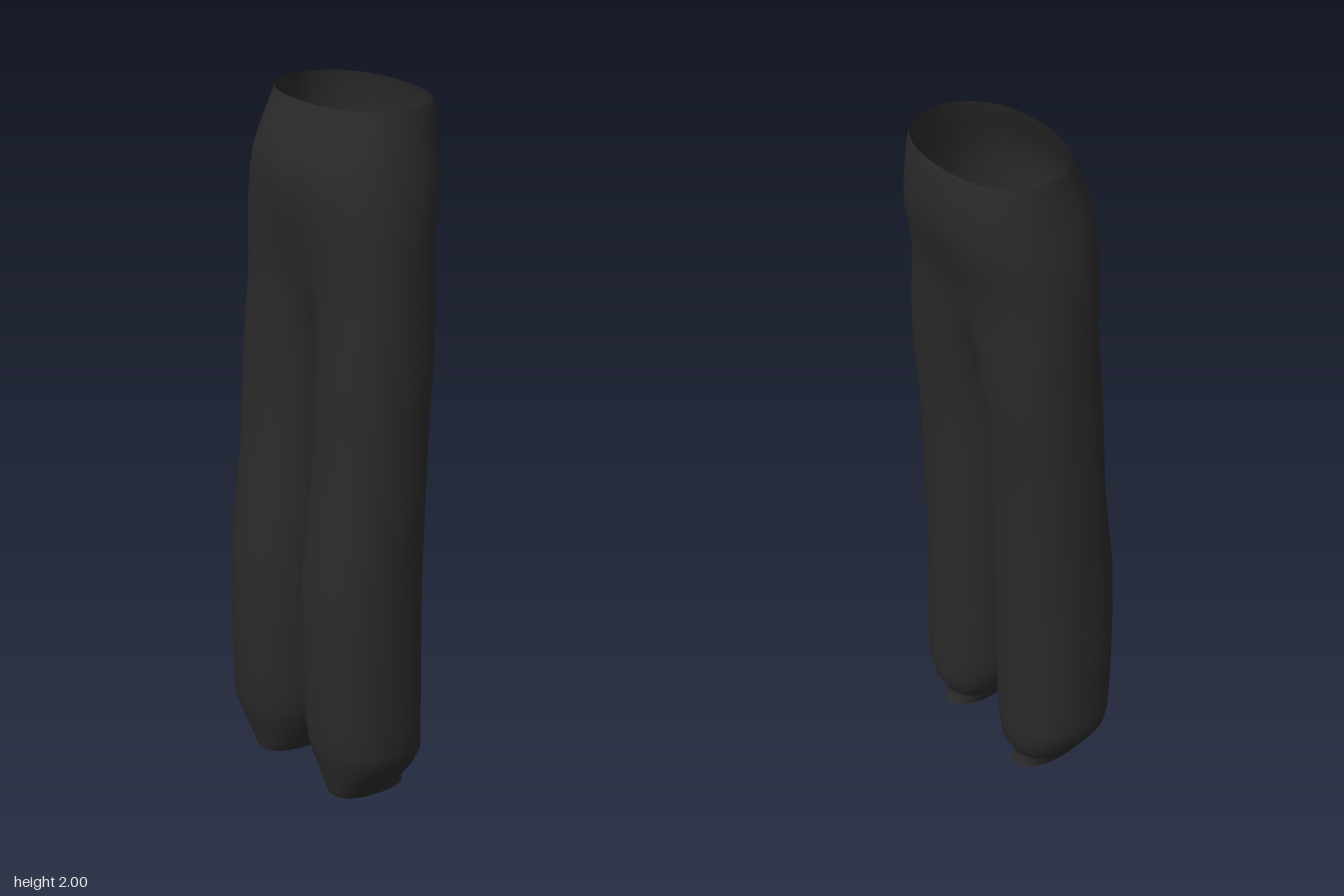
import * as THREE from 'three';
import { mergeVertices } from 'three/addons/utils/BufferGeometryUtils.js';

const COLS = 24;      // columns around one leg
const OUTER = 20;     // columns 0..OUTER also continue up into the hips
const CROTCH = 1.45;  // height where the hips divide into legs

// y, inner x, outer x, front z, back z, leg weight (0 = hip oval, 1 = leg tube)
const rings = [
  [2.00, 0, 0.245, 0.130, -0.210, 0],
  [1.97, 0, 0.252, 0.140, -0.218, 0],
  [1.91, 0, 0.265, 0.168, -0.221, 0],
  [1.85, 0, 0.280, 0.189, -0.222, 0],
  [1.78, 0, 0.294, 0.195, -0.216, 0.03],
  [1.70, 0, 0.305, 0.190, -0.190, 0.10],
  [1.62, 0, 0.308, 0.182, -0.173, 0.25],
  [1.53, 0, 0.310, 0.172, -0.166, 0.45],
  [CROTCH, 0, 0.311, 0.166, -0.160, 0.72],
  [1.30, 0.014, 0.315, 0.168, -0.144, 1],
  [1.18, 0.015, 0.318, 0.172, -0.128, 1],
  [1.00, 0.012, 0.320, 0.182, -0.119, 1],
  [0.85, 0.007, 0.322, 0.198, -0.114, 1],
  [0.70, 0.006, 0.323, 0.219, -0.110, 1],
  [0.55, 0.008, 0.326, 0.222, -0.107, 1],
  [0.40, 0.011, 0.329, 0.220, -0.105, 1],
  [0.25, 0.015, 0.330, 0.214, -0.104, 1],
  [0.18, 0.025, 0.329, 0.208, -0.104, 1],
  [0.14, 0.036, 0.322, 0.200, -0.104, 1],
  [0.09, 0.058, 0.290, 0.184, -0.098, 1],
  [0.05, 0.080, 0.262, 0.173, -0.075, 1],
  [0.03, 0.094, 0.246, 0.168, -0.056, 1],
  [0.00, 0.105, 0.234, 0.163, -0.080, 1],
];

const soft = (v, e) => Math.sign(v) * Math.pow(Math.abs(v), e);

// Point of a ring on the left (+x) half; columns run front, outside, back, inside
function pointAt([y, xi, xo, zf, zb, w], j) {
  const cz = (zf + zb) / 2, rz = (zf - zb) / 2;
  const leg = (k) => {
    const a = THREE.MathUtils.degToRad(-60 + k * 15);
    return [(xi + xo) / 2 + (xo - xi) / 2 * soft(Math.sin(a), 0.88),
      cz + rz * soft(Math.cos(a), 0.88)];
  };
  const outer = (k) => {
    const a = Math.PI * k / OUTER, l = leg(k);
    const x = THREE.MathUtils.lerp(xo * soft(Math.sin(a), 0.88), l[0], w);
    const z = THREE.MathUtils.lerp(cz + rz * soft(Math.cos(a), 0.88), l[1], w);
    return [w < 1 && (k === 0 || k === OUTER) ? 0 : x, z];
  };
  if (j <= OUTER) {
    const [x, z] = outer(j);
    // The hem sits slightly higher at the front
    return [x, y === 0 ? 0.015 * (z - zb) / (zf - zb) : y, z];
  }
  if (w < 1) {
    // Crotch seam: dips between its front and back ends
    const t = (j - OUTER) / (COLS - OUTER);
    const z = THREE.MathUtils.lerp(outer(OUTER)[1], outer(0)[1], t);
    return [0, y - 0.115 * Math.pow(Math.sin(Math.PI * t), 0.6), z];
  }
  const [x, z] = leg(j);
  return [x, y === 0 ? 0.015 * (z - zb) / (zf - zb) : y, z];
}

function trouserGeometry() {
  const positions = [], index = [];
  for (const side of [1, -1]) {
    const base = positions.length / 3;
    for (const ring of rings) {
      for (let j = 0; j < COLS; j++) {
        const [x, y, z] = pointAt(ring, j);
        positions.push(side * x, y, z);
      }
    }
    for (let i = 0; i < rings.length - 1; i++) {
      // Hips are open along the centre line; legs close into tubes
      const count = rings[i][0] > CROTCH ? OUTER : COLS;
      for (let j = 0; j < count; j++) {
        const a = base + i * COLS + j, b = base + i * COLS + (j + 1) % COLS;
        const c = a + COLS, d = b + COLS;
        if (side > 0) index.push(a, c, b, b, c, d);
        else index.push(a, b, c, b, d, c);
      }
    }
  }
  const geometry = new THREE.BufferGeometry();
  geometry.setAttribute('position', new THREE.Float32BufferAttribute(positions, 3));
  geometry.setIndex(index);
  // Join both halves along the centre so the shading runs through
  const joined = mergeVertices(geometry, 1e-5);
  joined.computeVertexNormals();
  return joined;
}

export function createModel() {
  const group = new THREE.Group();
  group.name = 'trousers';
  const cloth = new THREE.MeshStandardMaterial({ color: 0x2a2a2a, side: THREE.DoubleSide });
  cloth.name = 'charcoal cloth';
  const mesh = new THREE.Mesh(trouserGeometry(), cloth);
  mesh.name = 'trouserCloth';
  group.add(mesh);
  return group;
}
